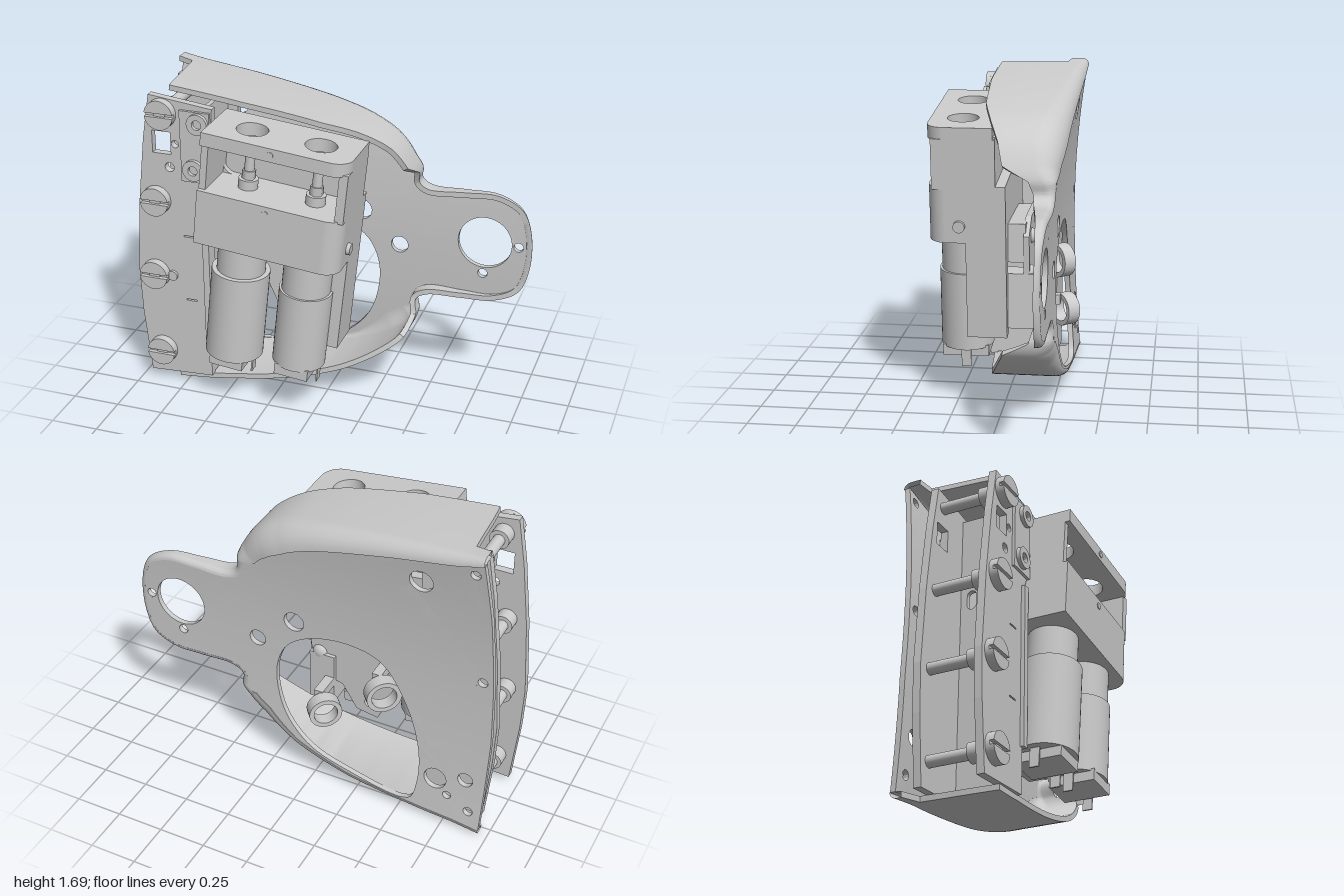
import * as THREE from 'three';
import { toCreasedNormals } from 'three/addons/utils/BufferGeometryUtils.js';

const mat = new THREE.MeshStandardMaterial({ color: 0xcccccc, side: THREE.DoubleSide });
const V2 = (p) => new THREE.Vector2(p[0], p[1]);

function add(parent, name, geo, x = 0, y = 0, z = 0) {
  const m = new THREE.Mesh(geo, mat);
  m.name = name;
  m.position.set(x, y, z);
  parent.add(m);
  return m;
}
// box given by its lower and upper limits
function box(parent, name, x0, x1, y0, y1, z0, z1) {
  add(parent, name, new THREE.BoxGeometry(x1 - x0, y1 - y0, z1 - z0), (x0 + x1) / 2, (y0 + y1) / 2, (z0 + z1) / 2);
}
const circle = ([x, y, r]) => new THREE.Path().absarc(x, y, r, 0, Math.PI * 2);
const rect = (x0, x1, y0, y1) => new THREE.Path([[x0, y0], [x1, y0], [x1, y1], [x0, y1]].map(V2));
function extrude(shape, holes, depth) {
  shape.holes.push(...holes);
  return new THREE.ExtrudeGeometry(shape, { depth, bevelEnabled: false, curveSegments: 24 });
}
const poly = (pts, holes, depth) => extrude(new THREE.Shape(pts.map(V2)), holes, depth);
const cyl = (r, h) => new THREE.CylinderGeometry(r, r, h, 40);

// split long edges so a flat panel can be bent
function subdivide(geo, limit) {
  const p = geo.toNonIndexed().attributes.position, out = [];
  const split = (a, b, c) => {
    const ab = a.distanceTo(b), longest = Math.max(ab, b.distanceTo(c), c.distanceTo(a));
    if (longest < limit) {
      out.push(...a.toArray(), ...b.toArray(), ...c.toArray());
    } else if (ab < longest) {
      split(b, c, a);
    } else {
      const m = a.clone().add(b).multiplyScalar(0.5);
      split(a, m, c);
      split(m, b, c);
    }
  };
  const v = (i) => new THREE.Vector3().fromBufferAttribute(p, i);
  for (let i = 0; i < p.count; i += 3) split(v(i), v(i + 1), v(i + 2));
  return new THREE.BufferGeometry().setAttribute('position', new THREE.Float32BufferAttribute(out, 3));
}

// rim of the shell, clockwise: x, y, front edge z, radius of the back edge
const RIM = [
  [-0.9, 1.7, -0.26, 0.035], [-0.82, 1.69, -0.24, 0.045], [-0.79, 1.687, 0.12, 0.05], [-0.4, 1.645, 0.125, 0.08],
  [0, 1.58, 0.1, 0.11], [0.2, 1.525, 0.05, 0.14], [0.33, 1.445, 0, 0.14], [0.405, 1.34, -0.03, 0.12],
  [0.43, 1.27, -0.16, 0.07], [0.425, 1.205, -0.185, 0.04], [0.47, 1.17, -0.19, 0.03], [0.65, 1.168, -0.215, 0.03],
  [0.82, 1.165, -0.235, 0.03], [0.945, 1.1, -0.245, 0.03], [0.997, 0.97, -0.25, 0.03], [0.997, 0.77, -0.25, 0.03],
  [0.945, 0.635, -0.245, 0.03], [0.82, 0.573, -0.235, 0.03], [0.65, 0.57, -0.215, 0.03], [0.47, 0.57, -0.19, 0.03],
  [0.42, 0.535, -0.185, 0.04], [0.43, 0.46, -0.16, 0.06], [0.405, 0.39, -0.03, 0.1], [0.3, 0.3, 0.01, 0.1],
  [0.1, 0.19, 0.06, 0.05], [-0.2, 0.1, 0.1, 0.03], [-0.6, 0.045, 0.14, 0.03], [-0.79, 0.03, 0.15, 0.03],
  [-0.82, 0.027, -0.24, 0.03], [-0.95, 0.01, -0.26, 0.03],
];
const backZ = (y) => -0.275 - (y > 0.85 ? 0.075 : 0.045) * ((y - 0.85) / 0.85) ** 2;
const SKIN = 0.028;

function buildShell(g) {
  const curve = new THREE.CatmullRomCurve3(RIM.map((p) => new THREE.Vector3(p[0], p[1], 0)));
  const N = 8 * (RIM.length - 1), A = 7, pos = [], idx = [], inset = [];
  for (let i = 0; i <= N; i++) {
    const p = curve.getPoint(i / N), d = curve.getTangent(i / N);
    const n = new THREE.Vector2(d.y, -d.x).normalize();
    const j = Math.min(Math.floor(i / 8), RIM.length - 2);
    const mix = (c) => THREE.MathUtils.lerp(RIM[j][c], RIM[j + 1][c], i / 8 - j);
    const r = mix(3), ri = r - SKIN, b = backZ(p.y), f = Math.max(mix(2), b + r);
    const outer = [[0, f]], inner = [[SKIN, f]];
    for (let a = 0; a <= A; a++) {
      const q = (a / A) * Math.PI / 2, c = Math.cos(q), s = Math.sin(q);
      outer.push([r - r * c, b + r - r * s]);
      inner.push([r - ri * c, b + r - ri * s]);
    }
    for (const [o, z] of [...outer, ...inner.reverse()]) pos.push(p.x + n.x * o, p.y + n.y * o, z);
    inset.push([p.x + n.x * r, p.y + n.y * r]);
  }
  const M = 2 * (A + 2);
  for (let i = 0; i < N; i++) for (let j = 0; j < M; j++) {
    const a = i * M + j, c = i * M + (j + 1) % M;
    idx.push(a, a + M, c, a + M, c + M, c);
  }
  const wall = new THREE.BufferGeometry().setAttribute('position', new THREE.Float32BufferAttribute(pos, 3));
  wall.setIndex(idx);
  add(g, 'shellWall', toCreasedNormals(wall, 0.6));

  // back panel with the wing, its holes and the large opening
  const opening = new THREE.Path(new THREE.CatmullRomCurve3(
    [[0.2, 0.68], [0.14, 0.82], [0, 0.91], [-0.21, 0.94], [-0.38, 0.89], [-0.52, 0.68], [-0.6, 0.42], [-0.6, 0.2],
      [-0.56, 0.1], [-0.2, 0.148], [0, 0.22], [0.13, 0.35], [0.19, 0.5]].map((p) => new THREE.Vector3(p[0], p[1], 0)), true)
    .getPoints(65).slice(0, -1).map((p) => new THREE.Vector2(p.x, p.y)));
  const holes = [[0.76, 0.89, 0.14], [0.935, 0.89, 0.025], [0.755, 0.715, 0.025], [0.31, 0.81, 0.045], [0.1, 0.98, 0.055],
    [-0.59, 1.47, 0.06], [-0.7, 0.28, 0.06], [-0.86, 0.33, 0.04], [-0.77, 0.2, 0.022], [-0.86, 1.6, 0.025],
    [-0.91, 0.96, 0.025], [-0.89, 0.14, 0.025]].map(circle);
  const left = [[-0.965, 0.3], [-0.975, 0.6], [-0.965, 0.95], [-0.94, 1.35]];
  const panel = subdivide(poly([...inset, ...left], [opening, ...holes], SKIN), 0.12);
  const q = panel.attributes.position;
  for (let i = 0; i < q.count; i++) q.setZ(i, q.getZ(i) + backZ(q.getY(i)));
  add(g, 'backPanel', toCreasedNormals(panel, 0.6));
}

function buildChannel(g) {
  // front and rear strips joined by a side web
  const strip = [[-0.95, 0.05], [-0.6, 0.07], [-0.6, 1.14], [-0.57, 1.18], [-0.55, 1.6], [-0.89, 1.64], [-0.93, 1.4], [-0.97, 1.05], [-0.995, 0.65], [-0.985, 0.4]];
  const slots = [rect(-0.73, -0.67, 0.878, 0.886), rect(-0.73, -0.67, 0.508, 0.516)];
  add(g, 'frontStrip', poly(strip, [...slots, rect(-0.88, -0.78, 1.33, 1.45), circle([-0.79, 1.26, 0.025]), circle([-0.755, 1.39, 0.02])], 0.04), 0, 0, 0.12);
  add(g, 'rearStrip', poly(strip.map(([x, y]) => [x * 0.98, y]), [rect(-0.87, -0.77, 1.33, 1.45)], 0.04), 0, 0, -0.21);
  const web = poly([[-0.2, 0.08], [0.13, 0.08], [0.13, 1.58], [-0.2, 1.58]],
    [new THREE.Path().absarc(-0.11, 1.15, 0.025, 0, Math.PI).absarc(-0.11, 1.1, 0.025, Math.PI, Math.PI * 2),
      circle([-0.03, 1.15, 0.02]), circle([-0.05, 0.35, 0.025]), circle([-0.12, 0.3, 0.025])], 0.025);
  add(g, 'channelWeb', web.rotateY(-Math.PI / 2), -0.6, 0, 0);
  box(g, 'edgeBlock', -0.62, -0.585, 0.3, 1.14, 0.1, 0.18);
  box(g, 'upperBlock', -0.72, -0.56, 1.2, 1.58, 0.15, 0.175);
  // slotted screws through the channel
  for (const [x, y] of [[-0.82, 1.55], [-0.87, 1.07], [-0.895, 0.645], [-0.875, 0.19]]) {
    add(g, 'screwShank', cyl(0.03, 0.42).rotateX(Math.PI / 2), x, y, -0.02);
    add(g, 'screwCollar', cyl(0.05, 0.08).rotateX(Math.PI / 2), x, y, 0.09);
    for (const s of [0, Math.PI]) {
      const half = new THREE.Shape().absarc(0, 0, 0.077, s + 0.13, s + Math.PI - 0.13);
      add(g, 'screwHead', extrude(half, [], 0.025), x, y, 0.18);
    }
    add(g, 'screwHeadBase', cyl(0.077, 0.025).rotateX(Math.PI / 2), x, y, 0.17);
  }
  for (const [x, y] of [[-0.62, 1.52], [-0.65, 1.27]]) {
    const ring = new THREE.Shape().absarc(0, 0, 0.055, 0, Math.PI * 2);
    add(g, 'socketScrew', extrude(ring, [circle([0, 0, 0.025])], 0.03), x, y, 0.165);
  }
  add(g, 'stripPin', cyl(0.027, 0.02).rotateX(Math.PI / 2), -0.8, 0.645, 0.165);
}

function buildDrive(g) {
  // tilted block that carries two motors
  const b = new THREE.Group();
  b.name = 'driveUnit';
  b.position.set(-0.16, 1.53, 0);
  b.rotation.z = -0.105;
  g.add(b);
  const AX = [-0.155, 0.2], Z = 0.21;
  const slab = (holes, depth) => {
    const s = new THREE.Shape([[-0.36, -0.04], [-0.36, -0.375]].map(V2));
    s.lineTo(0.3, -0.375);
    s.absarc(0.3, -0.285, 0.09, -Math.PI / 2, 0);
    s.lineTo(0.39, -0.04);
    return extrude(s, holes, depth).rotateX(-Math.PI / 2);
  };
  add(b, 'topPlate', slab(AX.map((x) => circle([x, -Z, 0.08])), 0.07), 0, -0.07, 0);
  add(b, 'lowerBlock', slab([], 0.29), 0, -0.6, 0);
  // window with rounded corners between the two slabs
  const wide = new THREE.Shape([[-0.36, -0.33], [0.385, -0.33], [0.385, -0.05], [-0.36, -0.05]].map(V2));
  const gap = new THREE.Path();
  for (const [x, y, a] of [[0.29, -0.13, 0], [-0.27, -0.13, 1], [-0.27, -0.25, 2], [0.29, -0.25, 3]]) {
    gap.absarc(x, y, 0.06, a * Math.PI / 2, (a + 1) * Math.PI / 2);
  }
  add(b, 'windowFrame', extrude(wide, [gap], 0.03), 0, 0, 0.09);
  box(b, 'windowSide', 0.345, 0.39, -0.32, -0.06, 0.03, 0.35);
  box(b, 'windowSide', -0.36, -0.325, -0.32, -0.06, 0.03, 0.35);
  box(b, 'windowBack', -0.36, 0.37, -0.34, -0.05, 0.03, 0.09);
  box(b, 'backBlock', -0.36, 0.39, -0.72, -0.3, -0.02, 0.05);
  box(b, 'sideRail', 0.31, 0.39, -1.11, -0.55, -0.02, 0.185);
  add(b, 'sidePin', cyl(0.03, 0.03).rotateZ(Math.PI / 2), 0.395, -0.51, 0.215);
  for (const v of [-0.035, -0.35]) add(b, 'frontPin', cyl(0.017, 0.01).rotateX(Math.PI / 2), 0, v, 0.374);
  AX.forEach((u, i) => {
    const r = [0.15, 0.137][i], top = [-0.77, -0.79][i], end = [-1.255, -1.21][i];
    add(b, 'motorNeck', cyl(0.125, 0.3), u, -0.7, Z);
    add(b, 'motorBody', cyl(r, top - end), u, (top + end) / 2, Z);
    box(b, 'motorCap', u - 0.09, u + 0.09, end - 0.05, end + 0.01, Z - 0.12, Z + 0.12);
    add(b, 'shaftCollar', cyl(0.05, 0.05), u, -0.285, Z);
    add(b, 'shaftNut', new THREE.CylinderGeometry(0.035, 0.035, 0.05, 6), u, -0.24, Z);
    add(b, 'shaft', cyl(0.025, 0.14), u, -0.18, Z);
    for (const s of [-1, 1]) box(b, 'motorTerminal', u + s * 0.11 - 0.004, u + s * 0.11 + 0.004, end - 0.1, end + 0.02, Z - 0.03, Z + 0.02);
  });
}

function buildRearBracket(g) {
  // bracket behind the drive, with two ring lugs
  add(g, 'bracketPlate', poly([[-0.4, 0.62], [-0.3, 0.4], [-0.18, 0.42], [-0.1, 0.55], [0.06, 0.6], [0.1, 0.92], [-0.02, 1.0], [-0.4, 1.0]],
    [circle([-0.25, 0.48, 0.025]), circle([-0.22, 0.87, 0.022])], 0.03), 0, 0, -0.13);
  box(g, 'bracketSpacer', -0.4, 0.08, 0.78, 0.98, -0.11, 0);
  box(g, 'bracketFoot', -0.06, 0.08, 0.43, 0.72, -0.15, 0);
  for (const [x, y] of [[-0.02, 0.9], [-0.3, 0.93], [0.03, 0.72]]) {
    add(g, 'bracketScrew', new THREE.SphereGeometry(0.04, 20, 10).scale(1, 1, 0.6), x, y, -0.13);
  }
  for (const [x, y, z, r] of [[-0.38, 0.68, -0.25, 0.09], [-0.08, 0.5, -0.3, 0.085]]) {
    const ring = new THREE.Shape().absarc(0, 0, r, 0, Math.PI * 2);
    add(g, 'ringLug', extrude(ring, [circle([0, 0, r * 0.72])], 0.07).translate(0, 0, -0.035), x, y, z).rotation.y = 0.7;
    box(g, 'lugArm', x + 0.02, x + 0.07, y + 0.04, y + 0.09, z + 0.02, -0.1);
  }
}

export function createModel() {
  const g = new THREE.Group();
  g.name = 'shellWithDriveUnit';
  buildShell(g);
  buildChannel(g);
  buildDrive(g);
  buildRearBracket(g);
  return g;
}
